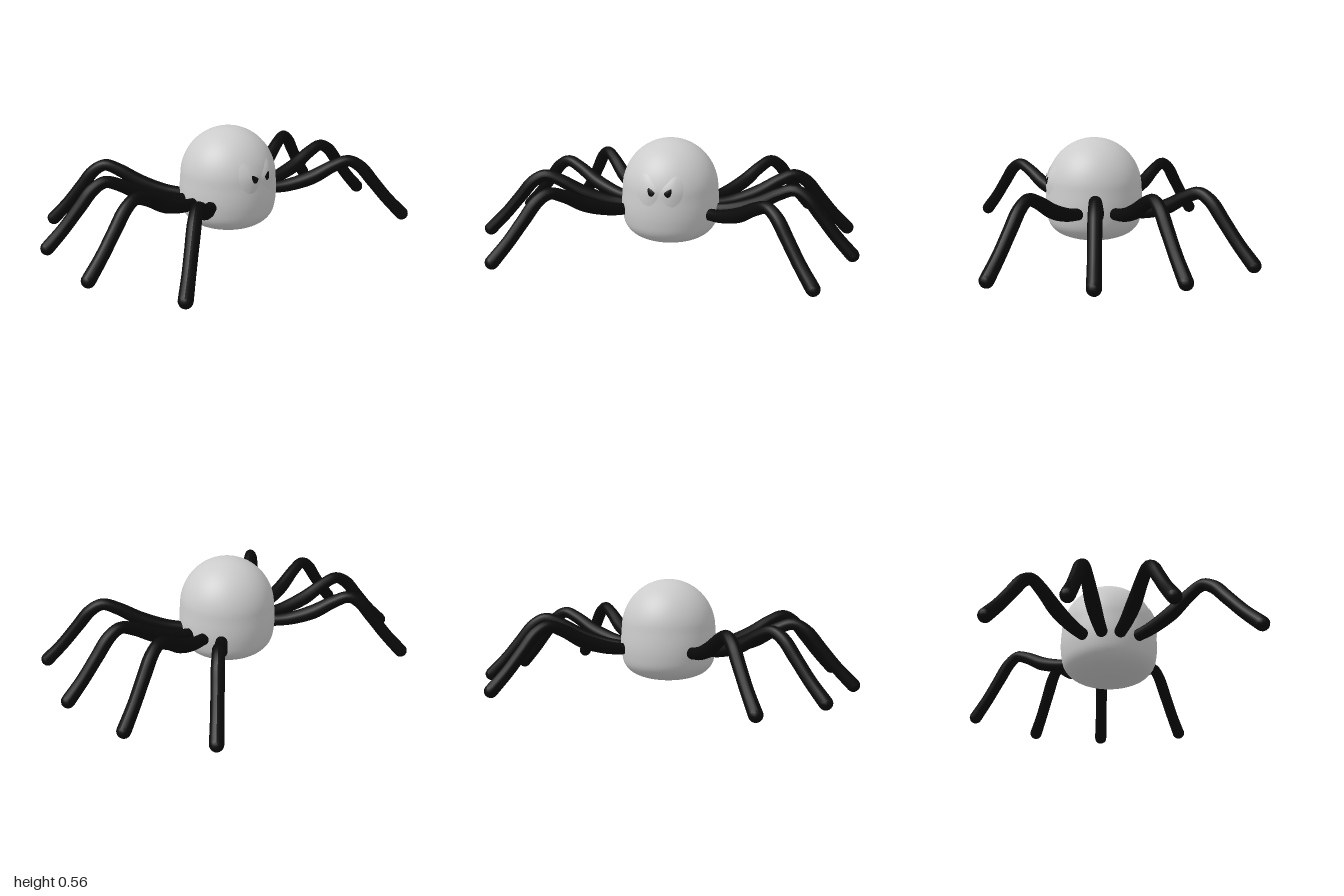
import * as THREE from 'three';

const CX = 0.05, CZ = -0.01; // body axis
const V = (x, y, z) => new THREE.Vector3(x, y, z);
const grey = new THREE.MeshStandardMaterial({ color: 0xcccccc });
const black = new THREE.MeshStandardMaterial({ color: 0x0a0a0a });
const white = new THREE.MeshStandardMaterial({ color: 0xffffff, side: THREE.DoubleSide });
const pupilBlack = new THREE.MeshStandardMaterial({ color: 0x0a0a0a, side: THREE.DoubleSide });

// Body profile: flattened base, domed top
const dome = [];
for (let i = 1; i <= 8; i++) {
  const a = (i / 8) * Math.PI / 2;
  dome.push(V(0.252 * Math.cos(a), 0.3 + 0.262 * Math.sin(a), 0));
}
const profile = new THREE.CatmullRomCurve3([
  V(0, 0.025, 0), V(0.07, 0.028, 0), V(0.14, 0.041, 0), V(0.2, 0.068, 0), V(0.237, 0.11, 0),
  V(0.252, 0.17, 0), V(0.256, 0.23, 0), V(0.252, 0.3, 0), ...dome,
]).getPoints(60).map(p => new THREE.Vector2(Math.max(p.x, 0), p.y));

function bodyRadius(y) {
  const i = Math.max(1, profile.findIndex(p => p.y >= y));
  const a = profile[i - 1], b = profile[i];
  return THREE.MathUtils.lerp(a.x, b.x, (y - a.y) / (b.y - a.y));
}

// Patch lying on the front of the body, from a [z, y] outline, bulging from rim to middle
function facePatch(outline, side, rim, bulge) {
  const curve = new THREE.CatmullRomCurve3(outline.map(([z, y]) => V(0, y, z * side)), true);
  const edge = curve.getPoints(40).slice(0, 40);
  if (side < 0) edge.reverse();
  const mid = edge.reduce((s, p) => s.add(p), V(0, 0, 0)).divideScalar(40);
  const rings = 8, pos = [], idx = [];
  for (let r = 0; r <= rings; r++) {
    for (const e of edge) {
      const t = r / rings, p = mid.clone().lerp(e, t);
      const x = Math.sqrt(bodyRadius(p.y) ** 2 - p.z ** 2) + rim + bulge * (1 - t * t);
      pos.push(CX + x, p.y, CZ + 0.005 + p.z);
    }
  }
  for (let r = 0; r < rings; r++) {
    for (let i = 0; i < 40; i++) {
      const a = r * 40 + i, b = r * 40 + (i + 1) % 40, c = a + 40, d = b + 40;
      idx.push(a, c, d);
      if (r > 0) idx.push(a, d, b);
    }
  }
  const g = new THREE.BufferGeometry();
  g.setAttribute('position', new THREE.Float32BufferAttribute(pos, 3));
  g.setIndex(idx);
  g.computeVertexNormals();
  return g;
}

// Bent leg: tube with varying thickness and rounded ends
function makeLeg([x0, z0, x1, z1]) {
  const bend = [[0, 0.2], [0.12, 0.213], [0.3, 0.255], [0.46, 0.318], [0.57, 0.345],
    [0.66, 0.312], [0.76, 0.228], [0.88, 0.125], [1, 0.036]];
  const curve = new THREE.CatmullRomCurve3(bend.map(([s, y]) =>
    V(THREE.MathUtils.lerp(x0, x1, s), y, THREE.MathUtils.lerp(z0, z1, s))));
  const thickness = new THREE.SplineCurve([0.031, 0.035, 0.038, 0.034, 0.031, 0.034, 0.033, 0.033, 0.035]
    .map((r, i) => new THREE.Vector2(i / 8, r)));
  const n = 48, sides = 14;
  const tube = new THREE.TubeGeometry(curve, n, 1, sides);
  const pos = tube.attributes.position;
  for (let i = 0; i <= n; i++) {
    const c = curve.getPointAt(i / n), r = thickness.getPoint(i / n).y;
    for (let j = 0; j <= sides; j++) {
      const k = i * (sides + 1) + j;
      const p = V(0, 0, 0).fromBufferAttribute(pos, k).sub(c).multiplyScalar(r).add(c);
      pos.setXYZ(k, p.x, p.y, p.z);
    }
  }
  tube.computeVertexNormals();
  const leg = new THREE.Group();
  const add = (name, geo, at) => {
    const m = new THREE.Mesh(geo, black);
    m.name = name;
    if (at) m.position.copy(at);
    leg.add(m);
  };
  add('legShaft', tube);
  add('hip', new THREE.SphereGeometry(0.031, 14, 10), curve.getPoint(0));
  add('foot', new THREE.SphereGeometry(0.035, 14, 10), curve.getPoint(1));
  return leg;
}

export function createModel() {
  const model = new THREE.Group();
  model.name = 'spider';

  const body = new THREE.Mesh(new THREE.LatheGeometry(profile, 64), grey);
  body.name = 'body';
  body.position.set(CX, 0, CZ);
  model.add(body);

  // Scowling eyes with slanted pupils
  const eye = [[0.08, 0.43], [0.108, 0.41], [0.122, 0.355], [0.105, 0.297], [0.07, 0.272],
    [0.032, 0.285], [0.008, 0.325], [0.008, 0.355], [0.04, 0.395]];
  const pupil = [[0.058, 0.366], [0.06, 0.345], [0.05, 0.326], [0.036, 0.326], [0.026, 0.338], [0.024, 0.346]];
  for (const side of [1, -1]) {
    const e = new THREE.Mesh(facePatch(eye, side, 0.001, 0.007), white);
    e.name = side > 0 ? 'leftEye' : 'rightEye';
    const p = new THREE.Mesh(facePatch(pupil, side, 0.009, 0.002), pupilBlack);
    p.name = side > 0 ? 'leftPupil' : 'rightPupil';
    model.add(e, p);
  }

  // Legs: hip x, hip z, foot x, foot z
  [
    [0.16, 0.21, 0.617, 0.77], [0.065, 0.24, 0.162, 0.965], [-0.03, 0.235, -0.285, 0.905], [-0.12, 0.185, -0.62, 0.655],
    [0.16, -0.235, 0.617, -0.79], [0.065, -0.26, 0.162, -0.965], [-0.03, -0.255, -0.245, -0.935], [-0.12, -0.21, -0.62, -0.705],
  ].forEach((l, i) => {
    const leg = makeLeg(l);
    leg.name = (i < 4 ? 'leftLeg' : 'rightLeg') + (i % 4 + 1);
    model.add(leg);
  });

  return model;
}
